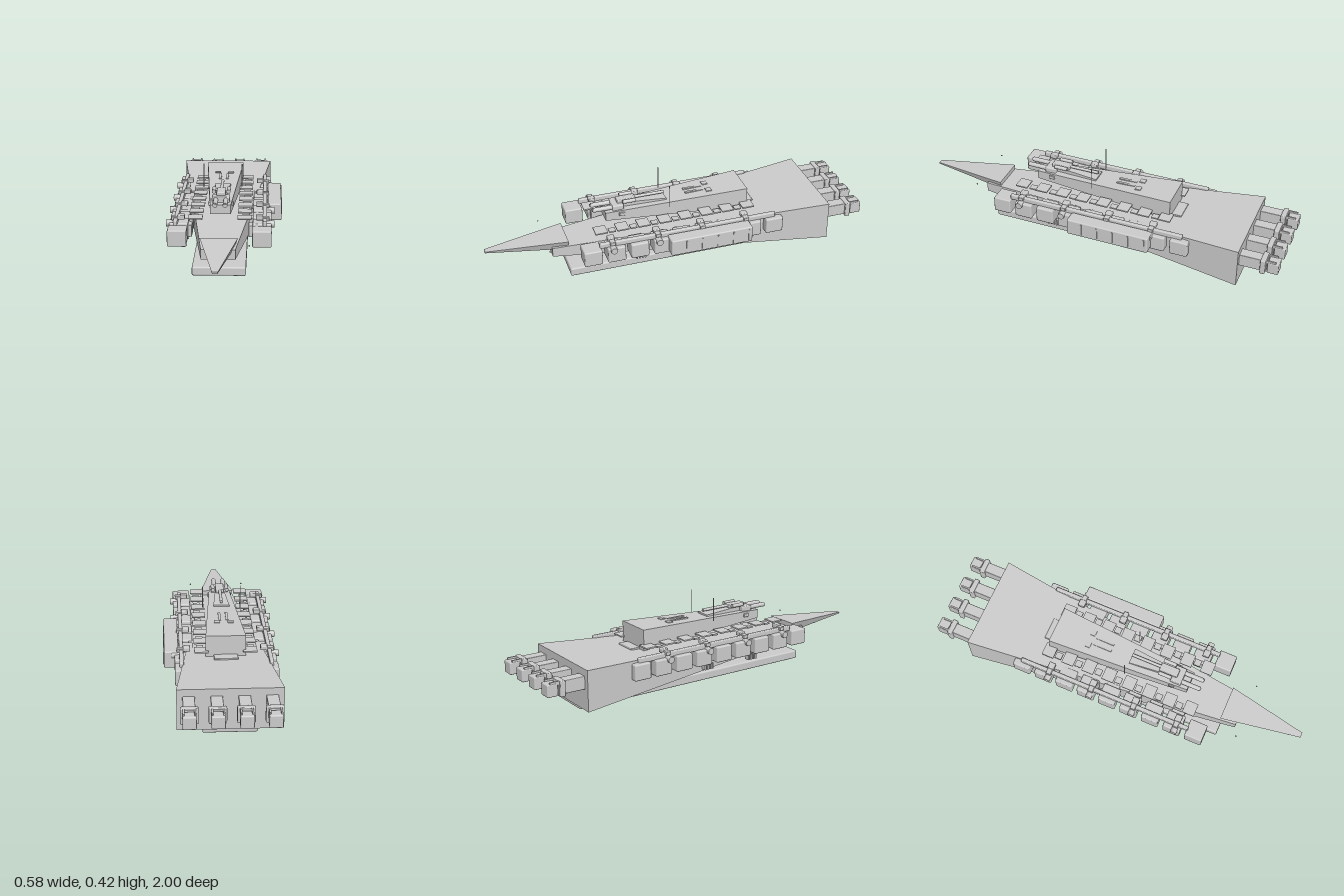
import * as THREE from 'three';
import { RoundedBoxGeometry } from 'three/addons/geometries/RoundedBoxGeometry.js';

const material = new THREE.MeshStandardMaterial({ color: 0xcccccc, roughness: 0.8 });
const AXIS = -0.023; // centreline of the hull; the side hangar widens only the left

// Block given by its x, y and z limits, with softened edges if r > 0
function block(parent, name, [x0, x1], [y0, y1], [z0, z1], r = 0) {
  const w = Math.abs(x1 - x0), h = y1 - y0, d = Math.abs(z1 - z0);
  const geo = r ? new RoundedBoxGeometry(w, h, d, 2, r) : new THREE.BoxGeometry(w, h, d);
  const mesh = new THREE.Mesh(geo, material);
  mesh.name = name;
  mesh.position.set((x0 + x1) / 2, (y0 + y1) / 2, (z0 + z1) / 2);
  parent.add(mesh);
  return mesh;
}

// Tapered block: the unit box is reshaped between a back and a front section
// section = { z, top: half width, bottom: half width, y0, y1 }
function taper(parent, name, back, front) {
  const geo = new THREE.BoxGeometry(1, 1, 1).toNonIndexed();
  const p = geo.attributes.position;
  for (let i = 0; i < p.count; i++) {
    const s = p.getZ(i) > 0 ? front : back;
    const up = p.getY(i) > 0;
    p.setXYZ(i, Math.sign(p.getX(i)) * (up ? s.top : s.bottom), up ? s.y1 : s.y0, s.z);
  }
  geo.computeVertexNormals();
  const mesh = new THREE.Mesh(geo, material);
  mesh.name = name;
  parent.add(mesh);
  return mesh;
}

function rod(parent, name, radius, length, axis, x, y, z) {
  const geo = new THREE.CylinderGeometry(radius, radius, length, 16);
  if (axis === 'x') geo.rotateZ(Math.PI / 2);
  if (axis === 'z') geo.rotateX(Math.PI / 2);
  const mesh = new THREE.Mesh(geo, material);
  mesh.name = name;
  mesh.position.set(x, y, z);
  parent.add(mesh);
  return mesh;
}

function group(parent, name) {
  const g = new THREE.Group();
  g.name = name;
  parent.add(g);
  return g;
}

function addHull(ship) {
  taper(ship, 'hull',
    { z: -0.8, top: 0.252, bottom: 0.252, y0: 0.03, y1: 0.24 },
    { z: 0.665, top: 0.082, bottom: 0.082, y0: 0.11, y1: 0.16 });
  taper(ship, 'prow',
    { z: 0.58, top: 0.092, bottom: 0.072, y0: 0.135, y1: 0.19 },
    { z: 1, top: 0.014, bottom: 0.012, y0: 0.158, y1: 0.166 });
  block(ship, 'keelPlate', [-0.131, 0.131], [0, 0.045], [-0.78, 0.585], 0.008);
}

function addBridge(ship) {
  const bridge = group(ship, 'bridge');
  taper(bridge, 'superstructure',
    { z: -0.39, top: 0.1, bottom: 0.1, y0: 0.218, y1: 0.327 },
    { z: 0.37, top: 0.051, bottom: 0.051, y0: 0.25, y1: 0.296 });
  // Raised wedge and gun housing
  taper(bridge, 'bridgeWedge',
    { z: 0.04, top: 0.042, bottom: 0.042, y0: 0.295, y1: 0.318 },
    { z: 0.28, top: 0.02, bottom: 0.02, y0: 0.29, y1: 0.325 });
  block(bridge, 'gunHousing', [-0.045, 0.045], [0.29, 0.325], [0.27, 0.33], 0.006);
  block(bridge, 'gunCap', [-0.023, 0.023], [0.322, 0.342], [0.2, 0.3], 0.005);
  for (const s of [-1, 1]) {
    rod(bridge, 'gunBarrel', 0.012, 0.12, 'z', s * 0.025, 0.31, 0.37);
    rod(bridge, 'gunMuzzle', 0.008, 0.03, 'z', s * 0.025, 0.31, 0.42);
    rod(bridge, 'upperTube', 0.01, 0.07, 'z', s * 0.037, 0.338, 0.24);
    rod(bridge, 'antenna', 0.002, 0.125, 'y', s * 0.099, 0.362, 0.04);
    block(bridge, 'sensorBox', [s * 0.048, s * 0.064], [0.27, 0.29], [0.27, 0.3], 0.004);
    // Low plates on the roof
    block(bridge, 'roofPlate', [s * 0.012, s * 0.025], [0.3, 0.321], [-0.17, -0.07]);
    block(bridge, 'roofPlate', [s * 0.02, s * 0.05], [0.3, 0.324], [-0.21, -0.18]);
  }
  rod(bridge, 'roofMast', 0.008, 0.225, 'z', 0, 0.335, 0.155);
  block(bridge, 'rearDeckStep', [-0.06, 0.06], [0.21, 0.228], [-0.44, -0.38], 0.004);
}

function addSide(ship, s) {
  const side = group(ship, s > 0 ? 'leftSide' : 'rightSide');
  const x = (a, b) => [s * a, s * b];
  // Row of pods
  for (let i = 0; i < 9; i++) {
    const z = 0.49 - i * 0.1225;
    block(side, 'sidePod', x(0.16, 0.254), [0.129, 0.212], [z - 0.047, z + 0.047], 0.007);
    if (i) block(side, 'podMount', x(0.14, 0.165), [0.14, 0.2], [z - 0.035, z + 0.035], 0.004);
  }
  block(side, 'sideRail', x(0.21, 0.231), [0.207, 0.236], [-0.5, 0.45], 0.006);
  // Turrets along the rail
  for (let i = 0; i < 4; i++) {
    const z = 0.385 - i * 0.24;
    block(side, 'turretBlock', x(0.176, 0.212), [0.227, 0.25], [z - 0.018, z + 0.018], 0.005);
    block(side, 'turretArm', x(0.205, 0.243), [0.222, 0.242], [z - 0.014, z + 0.014], 0.004);
    rod(side, 'turretBarrel', 0.017, 0.06, 'x', s * 0.239, 0.205, z);
  }
  // Deck tiles, with smaller ones between
  for (let i = 0; i < 8; i++) {
    const z = 0.42 - i * 0.114;
    block(side, 'deckTile', x(0.086, 0.156), [0.243, 0.25], [z - 0.032, z + 0.032]);
    if (i < 7) block(side, 'smallDeckTile', x(0.11, 0.145), [0.236, 0.243], [z - 0.077, z - 0.042]);
  }
  // Slatted vents under the pods
  for (const z of [0.225, -0.055]) {
    for (let i = 0; i < 4; i++) {
      const c = z + (i - 1.5) * 0.015;
      block(side, 'ventSlat', x(0.166, 0.196), [0.08, 0.113], [c - 0.004, c + 0.004]);
    }
  }
  const beacon = new THREE.Mesh(new THREE.SphereGeometry(0.004, 8, 6), material);
  beacon.name = 'bowBeacon';
  beacon.position.set(s * 0.148, 0.19, 0.69);
  side.add(beacon);
}

function addHangar(ship) {
  // One-sided hangar with upright ribs
  const hangar = group(ship, 'sideHangar');
  block(hangar, 'hangarBody', [0.235, 0.307], [0.137, 0.226], [-0.345, 0.095], 0.007);
  for (let i = 0; i < 5; i++) {
    const z = 0.015 - i * 0.085;
    block(hangar, 'hangarRib', [0.3, 0.311], [0.15, 0.215], [z - 0.003, z + 0.003]);
  }
}

function addEngines(ship) {
  for (const c of [-0.195, -0.065, 0.065, 0.195]) {
    const engine = group(ship, 'engine');
    engine.position.x = c;
    block(engine, 'engineShaft', [-0.029, 0.029], [0.138, 0.204], [-0.94, -0.78], 0.004);
    block(engine, 'engineCollar', [-0.042, 0.042], [0.13, 0.21], [-0.935, -0.908], 0.005);
    block(engine, 'engineNozzle', [-0.032, 0.032], [0.136, 0.2], [-1, -0.943], 0.006);
    for (const s of [-1, 1]) {
      block(engine, 'engineFin', [s * 0.022, s * 0.03], [0.19, 0.209], [-0.985, -0.93]);
    }
  }
}

export function createModel() {
  const model = new THREE.Group();
  model.name = 'battleship';
  const ship = group(model, 'ship');
  ship.position.x = AXIS;
  addHull(ship);
  addBridge(ship);
  addSide(ship, 1);
  addSide(ship, -1);
  addHangar(ship);
  addEngines(ship);
  return model;
}
